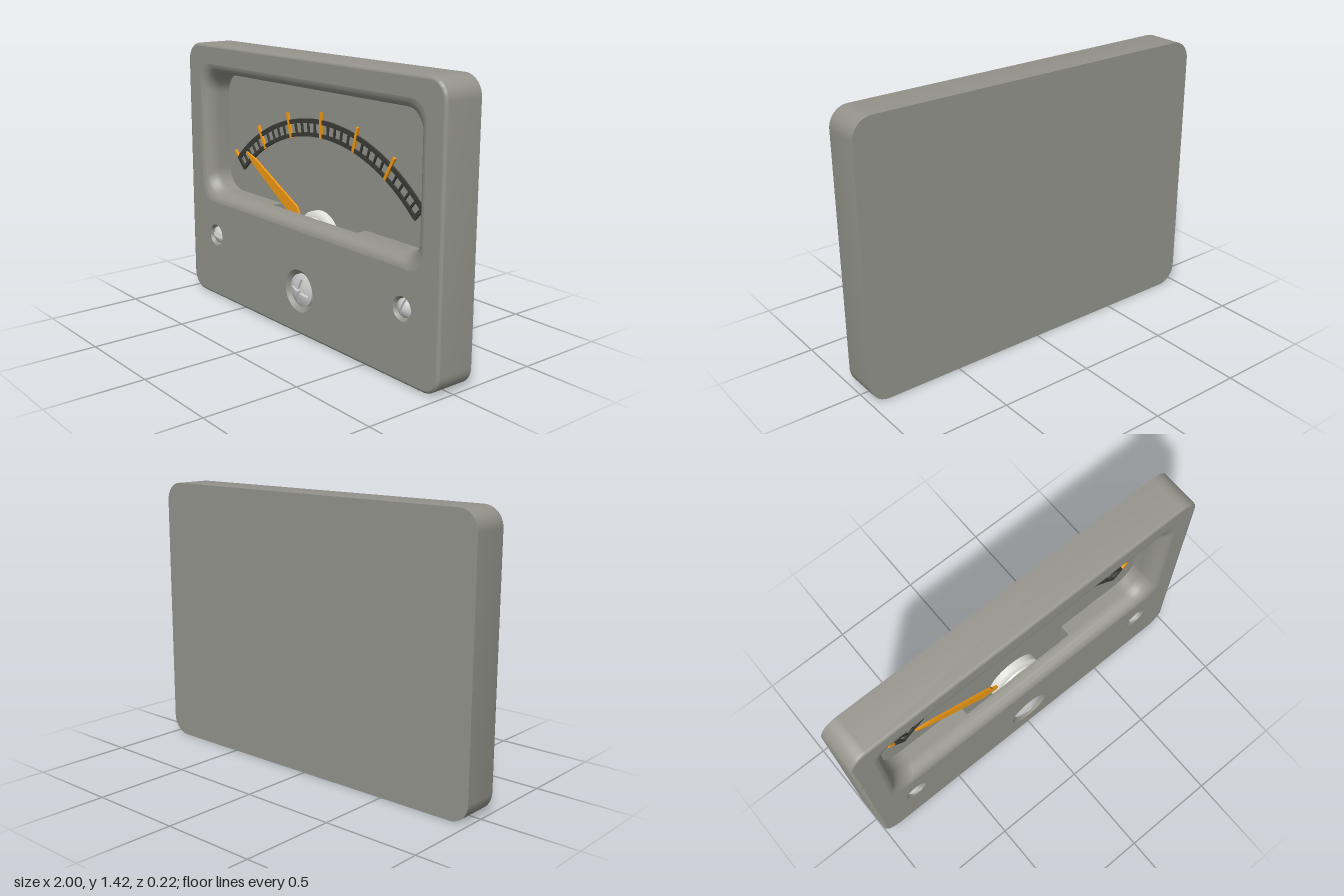
import * as THREE from 'three';
import { toCreasedNormals } from 'three/addons/utils/BufferGeometryUtils.js';

const mat = (color) => new THREE.MeshStandardMaterial({ color });
const DIAL = -0.05; // z of the dial face
const LIP = 0.01;   // z where the pocket behind the lower lip ends
const FRONT = 0.1;

// Counter-clockwise rounded rectangle, starting at the bottom left corner
function roundedRect(x, y0, y1, r) {
  const pts = [];
  const corners = [[-x + r, y0 + r], [x - r, y0 + r], [x - r, y1 - r], [-x + r, y1 - r]];
  corners.forEach(([cx, cy], k) => {
    for (let i = 0; i <= 10; i++) {
      const a = Math.PI * (1 + k / 2 + i / 20);
      pts.push(new THREE.Vector2(cx + r * Math.cos(a), cy + r * Math.sin(a)));
    }
  });
  return pts;
}

function circle(cx, cy, r, n = 40) {
  return Array.from({ length: n }, (_, i) => {
    const a = (i / n) * Math.PI * 2;
    return new THREE.Vector2(cx + r * Math.cos(a), cy + r * Math.sin(a));
  });
}

// Skin a list of [loop, z] sections
function loft(sections) {
  const n = sections[0][0].length, pos = [], idx = [];
  for (const [pts, z] of sections) pts.forEach((p) => pos.push(p.x, p.y, z));
  for (let k = 0; k < sections.length - 1; k++) {
    for (let i = 0; i < n; i++) {
      const a = k * n + i, b = k * n + ((i + 1) % n);
      idx.push(a, b, b + n, a, b + n, a + n);
    }
  }
  const g = new THREE.BufferGeometry();
  g.setAttribute('position', new THREE.Float32BufferAttribute(pos, 3));
  g.setIndex(idx);
  return toCreasedNormals(g, 0.7);
}

function flat(pts, z, holes = []) {
  const s = new THREE.Shape(pts);
  s.holes = holes.map((h) => new THREE.Path(h));
  return new THREE.ShapeGeometry(s).translate(0, 0, z);
}

function slab(pts, z, depth) {
  return new THREE.ExtrudeGeometry(new THREE.Shape(pts), { depth, bevelEnabled: false }).translate(0, 0, z);
}

// Domed screw head cut by a slot (2 lobes) or a cross (4 lobes)
function screwHead(r, lobes, w, rim, base, edge, top, material) {
  const group = new THREE.Group();
  const dome = (d) => edge + (top - edge) * (1 - (d / r) ** 2);
  const reach = r * rim;
  const c = lobes === 2 ? [w, 0] : [w, w];
  const a0 = lobes === 2 ? -Math.PI / 2 : 0, span = lobes === 2 ? Math.PI : Math.PI / 2;
  for (let k = 0; k < lobes; k++) {
    const g = new THREE.BoxGeometry(1, 1, 1, 6, 16, 1), p = g.attributes.position;
    for (let i = 0; i < p.count; i++) {
      const t = p.getX(i) + 0.5, a = a0 + span * (p.getY(i) + 0.5);
      const dx = Math.cos(a), dy = Math.sin(a);
      const b = c[0] * dx + c[1] * dy;
      const d = t * (-b + Math.sqrt(b * b + reach * reach - c[0] ** 2 - c[1] ** 2));
      const x = c[0] + d * dx, y = c[1] + d * dy;
      p.setXYZ(i, x, y, p.getZ(i) > 0 ? dome(Math.hypot(x, y)) : base);
    }
    g.computeVertexNormals();
    const m = new THREE.Mesh(g, material);
    m.rotation.z = (k / lobes) * Math.PI * 2;
    group.add(m);
  }
  if (rim < 1) {
    const mid = (reach + r) / 2;
    group.add(new THREE.Mesh(loft([
      [circle(0, 0, r), base], [circle(0, 0, r), edge], [circle(0, 0, mid), dome(mid)],
      [circle(0, 0, reach), dome(reach)], [circle(0, 0, reach), base],
    ]), material));
  }
  // Floor of the slot
  group.add(new THREE.Mesh(flat(circle(0, 0, r), base + (edge - base) * 0.7), material));
  return group;
}

export function createModel() {
  const model = new THREE.Group();
  const body = mat(0x94948c), steel = mat(0xcccccc), dark = mat(0x3a3a36);
  const orange = mat(0xf09a14), pale = mat(0xe4e4de);
  const add = (name, geometry, material, parent = model) => {
    const m = new THREE.Mesh(geometry, material);
    m.name = name;
    parent.add(m);
    return m;
  };

  // Case with rounded corners and a softened front edge
  const outer = (t) => roundedRect(1 - t, t, 1.425 - t, 0.1 - t);
  add('caseWall', loft([
    [outer(0), -0.11], [outer(0), 0.085], [outer(0.002), 0.092], [outer(0.007), 0.098], [outer(0.015), FRONT],
  ]), body);
  add('caseBack', flat(outer(0), 0.11).rotateY(Math.PI), body);

  // Screws: x, y, pit radius, head radius, lobes, half slot, rim, turn
  const screws = [
    ['leftScrew', 0.76, 0.36, 0.06, 0.046, 2, 0.005, 1, -0.25],
    ['rightScrew', -0.76, 0.36, 0.06, 0.046, 2, 0.005, 1, 1.3],
    ['zeroAdjustScrew', 0, 0.235, 0.112, 0.086, 4, 0.007, 0.78, -0.25],
  ];

  // Front face and the flared window opening
  const win = (t) => roundedRect(0.83 + t, 0.605 - t, 1.265 + t, 0.12 - t * 0.5);
  add('frontFace', flat(outer(0.015), FRONT,
    [win(0.055), ...screws.map((s) => circle(s[1], s[2], s[3]))]), body);
  add('windowFlare', loft([
    [win(0.055), FRONT], [win(0.04), 0.097], [win(0.026), 0.088], [win(0.014), 0.072],
    [win(0.005), 0.05], [win(0), 0.025], [win(0), LIP],
  ]), body);

  // Recess behind the lip, with a pocket for the pivot
  const recess = win(0);
  recess.splice(11, 0, ...[[-0.34, 0.605], [-0.34, 0.33], [0.34, 0.33], [0.34, 0.605]]
    .map(([x, y]) => new THREE.Vector2(x, y)));
  add('recessWall', loft([[recess, LIP], [recess, DIAL]]), body);
  add('dialFace', flat(recess, DIAL), body);

  // Screws in their countersunk pits
  for (const [name, x, y, pit, r, lobes, w, rim, turn] of screws) {
    const g = new THREE.Group();
    g.name = name;
    g.position.set(x, y, 0);
    add('screwPit', loft([
      [circle(0, 0, pit), FRONT], [circle(0, 0, r * 1.06), 0.08], [circle(0, 0, r * 1.06), 0.05],
    ]), body, g);
    add('pitFloor', flat(circle(0, 0, r * 1.06), 0.05), body, g);
    const head = screwHead(r, lobes, w, rim, 0.05, 0.085, 0.106, steel);
    head.name = 'screwHead';
    head.rotation.z = turn;
    g.add(head);
    model.add(g);
  }

  // Scale: two arcs joined by ticks
  const scale = new THREE.Group();
  scale.name = 'scale';
  scale.position.set(0, 0.048, DIAL);
  model.add(scale);
  const half = 0.775;
  const arc = (r0, r1) => {
    const s = new THREE.Shape();
    s.absarc(0, 0, r1, Math.PI / 2 - half, Math.PI / 2 + half, false);
    s.absarc(0, 0, r0, Math.PI / 2 + half, Math.PI / 2 - half, true);
    return new THREE.ExtrudeGeometry(s, { depth: 0.01, bevelEnabled: false, curveSegments: 60 });
  };
  add('outerArc', arc(1.03, 1.053), dark, scale);
  add('innerArc', arc(0.962, 0.982), dark, scale);
  const tick = (a, r0, r1, w, h, material, name) => {
    const g = new THREE.BoxGeometry(w, r1 - r0, h).translate(0, (r0 + r1) / 2, h / 2);
    add(name, g.rotateZ(a), material, scale);
  };
  for (let i = 0; i <= 30; i++) {
    const a = half * (1 - i / 15), end = i % 30 === 0;
    if (i % 5 || end) tick(a, 0.965, 1.05, end ? 0.02 : 0.009, 0.01, dark, 'minorTick');
    if (i % 5 === 0) tick(a, end ? 1.05 : 0.96, 1.092, 0.016, 0.012, orange, 'majorTick');
  }

  // Needle and its pivot
  const needle = [[0.08, -0.016], [0.18, -0.016], [0.21, -0.036], [0.63, -0.019], [0.715, 0],
    [0.63, 0.019], [0.21, 0.036], [0.18, 0.016], [0.08, 0.016]].map(([x, y]) => new THREE.Vector2(x, y));
  const pointer = add('needle', slab(needle, -0.025, 0.012), orange);
  pointer.position.y = 0.49;
  pointer.rotation.z = 2.62;
  const hub = add('pivot', loft([
    [circle(0, 0, 0.145), DIAL], [circle(0, 0, 0.145), -0.015], [circle(0, 0, 0.13), -0.005],
    [circle(0, 0, 0.115), -0.005], [circle(0, 0, 0.11), 0.005], [circle(0, 0, 0.001), 0.005],
  ]), pale);
  hub.position.y = 0.49;
  return model;
}
